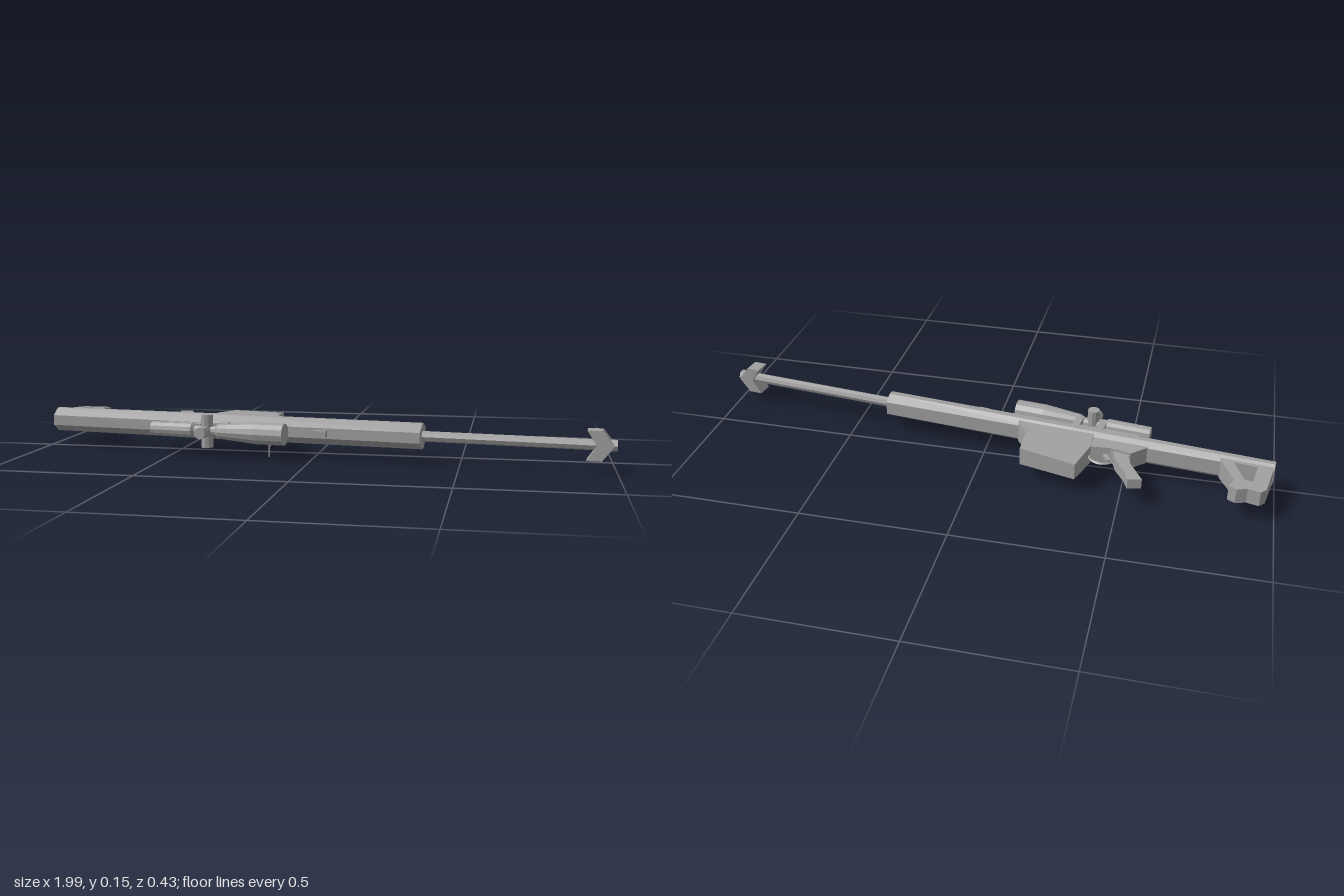
import * as THREE from 'three';

const Y0 = 0.09;      // height of the middle plane
const YAW = 0.115;    // the barrel axis is turned in plan
const grey = new THREE.MeshStandardMaterial({ color: 0xa0a0a0, flatShading: true });
grey.name = 'gunmetal grey';

function add(parent, name, geometry) {
  const mesh = new THREE.Mesh(geometry, grey);
  mesh.name = name;
  parent.add(mesh);
  return mesh;
}

const path = pts => pts.map(p => new THREE.Vector2(p[0], p[1]));

// Plate drawn in plan (x, z); half-thickness goes from h to hEnd between z = 0 and z = -0.2
function plate(pts, h, hEnd = h, hole = null) {
  const shape = new THREE.Shape(path(pts));
  if (hole) shape.holes.push(new THREE.Path(path(hole)));
  const g = new THREE.ExtrudeGeometry(shape, { depth: 2, bevelEnabled: false });
  g.translate(0, 0, -1).rotateX(Math.PI / 2);
  const p = g.attributes.position;
  for (let i = 0; i < p.count; i++) {
    const t = THREE.MathUtils.clamp(-p.getZ(i) / 0.2, 0, 1);
    p.setY(i, Y0 + p.getY(i) * THREE.MathUtils.lerp(h, hEnd, t));
  }
  g.computeVertexNormals();
  return g;
}

// Faceted bar along x; each section is [x, [[z, halfHeight], ...]]
function loft(sections) {
  const rings = sections.map(([x, half]) => [
    ...half.map(([z, h]) => [x, h, z]),
    ...half.slice().reverse().map(([z, h]) => [x, -h, z]),
  ]);
  const out = [];
  const n = rings[0].length;
  for (let r = 0; r < rings.length - 1; r++) {
    const A = rings[r], B = rings[r + 1];
    for (let i = 0; i < n; i++) {
      const j = (i + 1) % n;
      out.push(...A[i], ...A[j], ...B[j], ...A[i], ...B[j], ...B[i]);
    }
  }
  const first = rings[0], last = rings[rings.length - 1];
  for (let i = 1; i < n - 1; i++) {
    out.push(...last[0], ...last[i], ...last[i + 1]);
    out.push(...first[0], ...first[i + 1], ...first[i]);
  }
  const g = new THREE.BufferGeometry();
  g.setAttribute('position', new THREE.Float32BufferAttribute(out, 3));
  g.computeVertexNormals();
  return g;
}

// Rod along x from x0 to x1
function rod(x0, x1, z, r, sides) {
  return new THREE.CylinderGeometry(r, r, x1 - x0, sides)
    .rotateZ(-Math.PI / 2).translate((x0 + x1) / 2, 0, z);
}

function box(x, y, z, w, h, d) {
  return new THREE.BoxGeometry(w, h, d).translate(x, y, z);
}

export function createModel() {
  const model = new THREE.Group();
  model.name = 'longRifle';

  // Parts that follow the barrel axis
  const axis = new THREE.Group();
  axis.name = 'axisParts';
  axis.position.y = Y0;
  axis.rotation.y = -YAW;
  model.add(axis);

  add(axis, 'receiver', loft([
    [-0.987, [[0.043, 0.026], [0.06, 0.042], [0.078, 0.042], [0.109, 0.018]]],
    [-0.3, [[0.035, 0.026], [0.055, 0.044], [0.078, 0.044], [0.113, 0.018]]],
    [0.385, [[0.026, 0.024], [0.055, 0.043], [0.078, 0.043], [0.117, 0.018]]],
  ]));
  add(axis, 'barrel', rod(0.37, 0.96, 0.07, 0.018, 8));
  add(axis, 'muzzleTip', rod(0.96, 1.012, 0.07, 0.02, 6));

  // Arrow-shaped muzzle brake
  const chevron = new THREE.Shape(path([
    [0.918, -0.049], [0.966, -0.049], [1.004, 0], [0.966, 0.049], [0.918, 0.049], [0.95, 0],
  ]));
  add(axis, 'muzzleBrake', new THREE.ExtrudeGeometry(chevron, { depth: 0.058, bevelEnabled: false })
    .translate(0, 0, 0.041));

  // Scope with turrets and mounts
  const scope = new THREE.Group();
  scope.name = 'scope';
  axis.add(scope);
  const profile = path([
    [0, -0.553], [0.025, -0.553], [0.027, -0.4], [0.018, -0.39], [0.018, -0.315],
    [0.026, -0.3], [0.038, -0.17], [0.038, -0.065], [0, -0.065],
  ]);
  add(scope, 'scopeTube', new THREE.LatheGeometry(profile, 12)
    .rotateZ(-Math.PI / 2).translate(0, 0, 0.176));
  add(scope, 'sideTurrets', new THREE.CylinderGeometry(0.021, 0.021, 0.114, 10)
    .translate(-0.347, 0, 0.176));
  add(scope, 'topTurret', new THREE.CylinderGeometry(0.02, 0.02, 0.07, 10)
    .rotateX(Math.PI / 2).translate(-0.347, 0, 0.208));
  for (const x of [-0.385, -0.3]) {
    add(scope, 'scopeMount', box(x, 0, 0.14, 0.026, 0.046, 0.08));
  }
  add(scope, 'scopeRail', box(-0.4, 0, 0.119, 0.24, 0.034, 0.02));
  add(axis, 'frontSight', box(0.045, 0, 0.122, 0.04, 0.022, 0.024));

  // Shoulder stock frame
  add(model, 'stock', plate([
    [-0.985, -0.03], [-0.983, -0.07], [-0.963, -0.185], [-0.945, -0.205], [-0.905, -0.194],
    [-0.87, -0.205], [-0.845, -0.19], [-0.86, -0.155], [-0.815, -0.06], [-0.81, -0.03],
  ], 0.038, 0.026, [[-0.932, -0.07], [-0.92, -0.152], [-0.892, -0.146], [-0.855, -0.06]]));

  // Pistol grip, lower receiver, magazine
  add(model, 'grip', plate([
    [-0.572, -0.205], [-0.527, -0.217], [-0.51, -0.175], [-0.475, -0.115], [-0.458, -0.06],
    [-0.455, 0], [-0.54, -0.01], [-0.515, -0.085], [-0.525, -0.125],
  ], 0.024, 0.018));
  add(model, 'lowerReceiver', plate([
    [-0.57, -0.03], [-0.52, -0.078], [-0.45, -0.06], [-0.385, -0.065], [-0.37, 0.02], [-0.57, 0.01],
  ], 0.03));
  add(model, 'magazine', plate([
    [-0.35, -0.187], [-0.155, -0.134], [-0.155, -0.035], [-0.118, 0.022], [-0.12, 0.05],
    [-0.385, 0.01], [-0.385, -0.068],
  ], 0.038, 0.028));

  // Trigger and its guard
  add(model, 'triggerGuard', new THREE.TorusGeometry(0.042, 0.005, 4, 12, Math.PI)
    .rotateX(-Math.PI / 2).translate(-0.425, Y0, -0.075));
  add(model, 'trigger', plate([
    [-0.44, -0.05], [-0.455, -0.095], [-0.445, -0.098], [-0.42, -0.05],
  ], 0.006));

  // Thin bent charging handle
  const handle = new THREE.Shape(path([
    [0.052, 0.05], [0.055, 0.04], [0.095, 0.032], [0.095, 0],
    [0.102, 0], [0.102, 0.038], [0.062, 0.048],
  ]));
  add(model, 'chargingHandle', new THREE.ExtrudeGeometry(handle, { depth: 0.004, bevelEnabled: false })
    .rotateY(-Math.PI / 2).translate(-0.153, 0, 0));

  return model;
}
